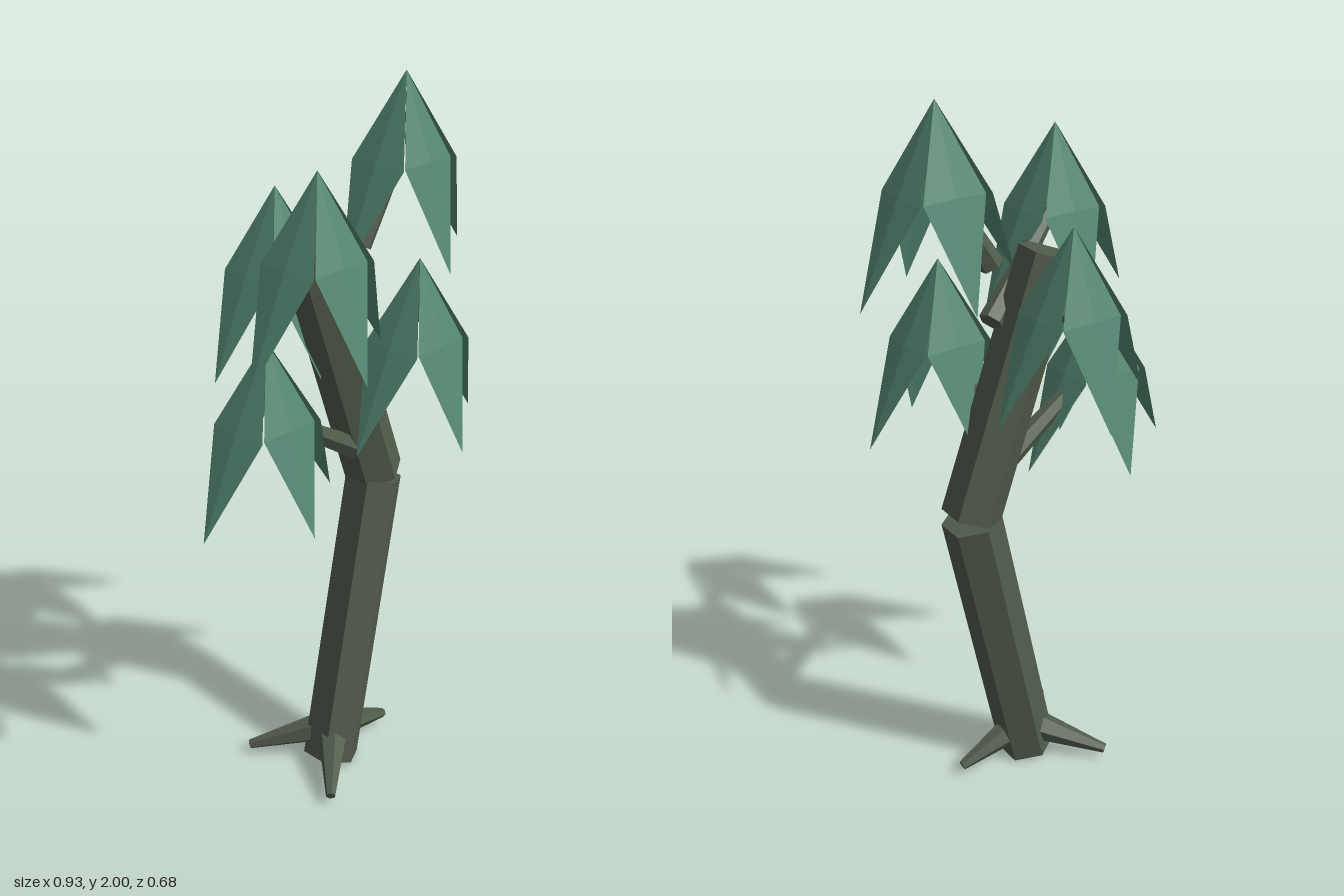
import * as THREE from 'three';

const bark = new THREE.MeshStandardMaterial({ color: 0x515c4c });
bark.name = 'bark';
const leafGreen = new THREE.MeshStandardMaterial({ color: 0x558873, side: THREE.DoubleSide });
leafGreen.name = 'leafGreen';

// Faceted tapered limb running from a to b
function limb(name, a, b, rA, rB, sides) {
  const start = new THREE.Vector3(...a), end = new THREE.Vector3(...b);
  const dir = end.clone().sub(start);
  const geo = new THREE.CylinderGeometry(rB, rA, dir.length(), sides).toNonIndexed();
  geo.computeVertexNormals();
  const mesh = new THREE.Mesh(geo, bark);
  mesh.name = name;
  mesh.position.copy(start).add(end).multiplyScalar(0.5);
  mesh.quaternion.setFromUnitVectors(new THREE.Vector3(0, 1, 0), dir.normalize());
  return mesh;
}

// Drooping diamond leaf with a slightly raised midrib, hanging from the origin toward +z
function leafGeometry(midOut, tipOut, tipDown) {
  const top = [0, 0, 0], left = [-0.087, -0.22, midOut], right = [0.087, -0.22, midOut];
  const rib = [0, -0.215, midOut + 0.008], tip = [0, -tipDown, tipOut];
  const faces = [top, left, rib, top, rib, right, left, tip, rib, rib, tip, right];
  const geo = new THREE.BufferGeometry();
  geo.setAttribute('position', new THREE.Float32BufferAttribute(faces.flat(), 3));
  geo.computeVertexNormals();
  return geo;
}

export function createModel() {
  const model = new THREE.Group();
  model.name = 'tree';

  // Bent trunk in two hexagonal lengths
  model.add(limb('lowerTrunk', [0.005, 0.02, 0.03], [0.193, 0.878, 0.013], 0.083, 0.082, 6));
  model.add(limb('upperTrunk', [0.195, 0.89, 0.011], [-0.04, 1.59, -0.007], 0.082, 0.077, 6));

  // Three splayed roots
  const rootTips = [[0.235, 0.035, 0.03], [-0.155, 0.035, 0.185], [-0.155, 0.035, -0.15]];
  for (const tip of rootTips) model.add(limb('root', [0.02, 0.11, 0.025], tip, 0.05, 0.014, 6));

  // Branches: base, end, and the crown point of the tuft each one carries
  const branches = [
    { base: [0.11, 1.575, 0.025], end: [0.215, 1.77, 0.05], crown: [0.24, 2.0, 0.056] },
    { base: [0.11, 1.42, 0.03], end: [-0.15, 1.63, 0.14], crown: [-0.185, 1.855, 0.165] },
    { base: [0.12, 1.15, 0.04], end: [0.165, 1.34, 0.15], crown: [0.173, 1.56, 0.175] },
    { base: [0.1, 1.0, 0.02], end: [-0.2, 1.19, 0.04], crown: [-0.24, 1.42, 0.043] },
    { base: [0.07, 1.35, -0.04], end: [0.015, 1.49, -0.15], crown: [0.006, 1.71, -0.175] },
  ];
  const zLeaf = leafGeometry(0.079, 0.165, 0.49);
  const xLeaf = leafGeometry(0.101, 0.226, 0.48);
  for (const { base, end, crown } of branches) {
    model.add(limb('branch', base, end, 0.034, 0.02, 6));
    const tuft = new THREE.Group();
    tuft.name = 'leafTuft';
    tuft.position.set(...crown);
    for (let i = 0; i < 4; i++) {
      const leaf = new THREE.Mesh(i % 2 ? xLeaf : zLeaf, leafGreen);
      leaf.name = 'leaf';
      leaf.rotation.y = i * Math.PI / 2;
      tuft.add(leaf);
    }
    model.add(tuft);
  }
  return model;
}
